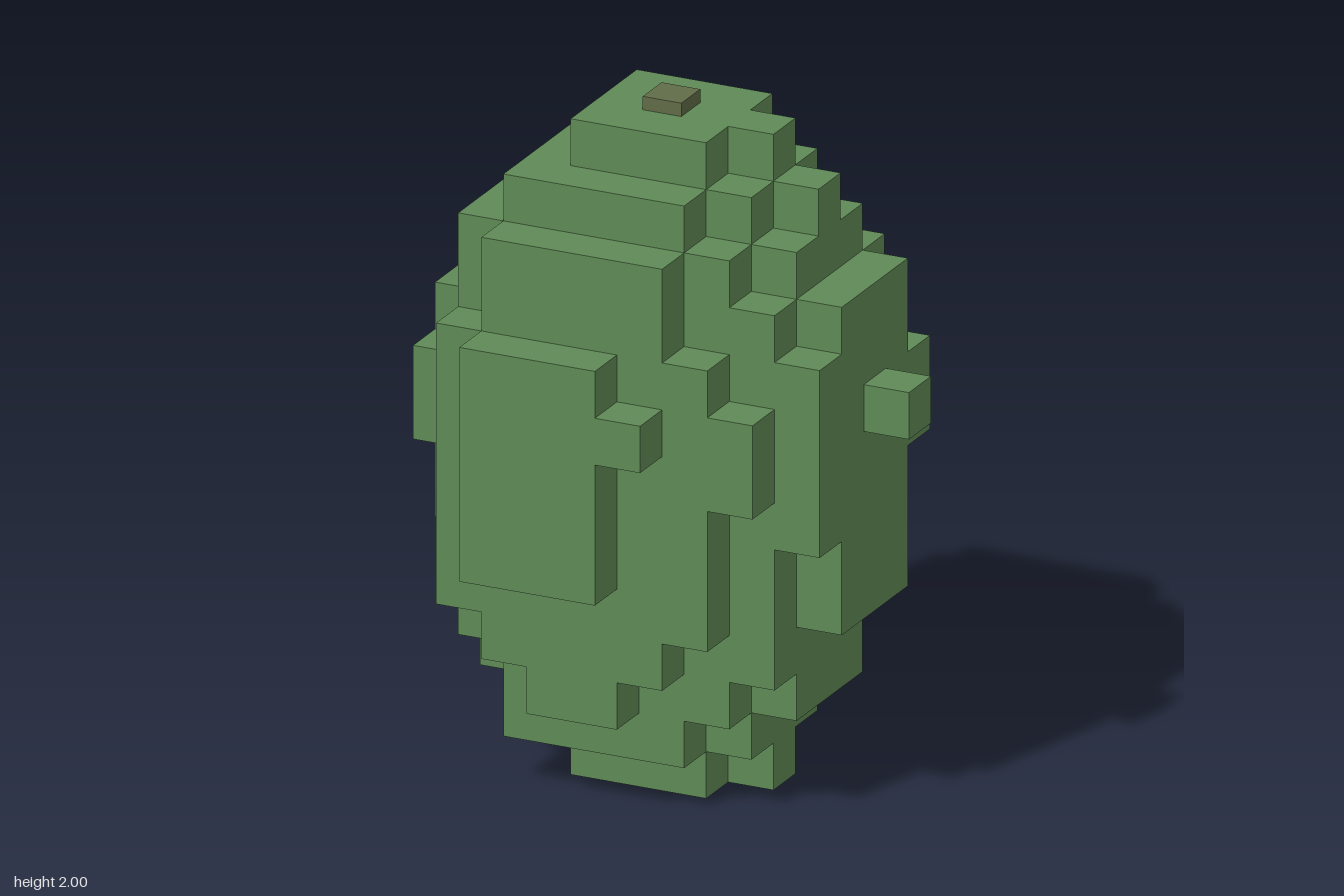
import * as THREE from 'three';
import { mergeGeometries } from 'three/addons/utils/BufferGeometryUtils.js';

const S = 0.14;                  // cube size
const NX = 10, NY = 14, NZ = 9;  // grid of cubes: x, y, z

export function createModel() {
  const green = new THREE.MeshStandardMaterial({ color: 0x5f8a56 });
  green.name = 'leaf green';
  const brown = new THREE.MeshStandardMaterial({ color: 0x616d48 });
  brown.name = 'stem brown';

  // Occupied cubes; each block is [firstX, lastX, firstY, lastY] in one z slice
  const cells = new Set();
  const key = (x, y, z) => x + NX * (y + NY * z);
  const fill = (z, ...blocks) => {
    for (const [x0, x1, y0, y1] of blocks)
      for (let x = x0; x <= x1; x++)
        for (let y = y0; y <= y1; y++) cells.add(key(x, y, z));
  };
  const filled = (x, y, z) =>
    x >= 0 && y >= 0 && z >= 0 && x < NX && y < NY && z < NZ && cells.has(key(x, y, z));

  // Back slices
  fill(0, [2, 4, 5, 9], [3, 3, 4, 4], [5, 5, 7, 8]);
  fill(1, [1, 1, 5, 9], [2, 5, 3, 11], [3, 4, 2, 2], [6, 6, 5, 9]);
  fill(2, [1, 1, 3, 10], [2, 5, 1, 12], [4, 4, 0, 0], [6, 6, 2, 11], [7, 7, 4, 10], [8, 8, 7, 8]);

  // Three core slices share the same stepped oval
  for (const z of [3, 4, 5])
    fill(z, [0, 0, 7, 8], [1, 7, 2, 11], [2, 6, 1, 12], [3, 5, 0, 13], [8, 8, 4, 10]);
  fill(4, [0, 0, 6, 9], [6, 6, 0, 13], [7, 7, 12, 12], [9, 9, 8, 8]);
  fill(5, [0, 0, 5, 9]);

  // Front slices
  fill(6, [0, 0, 7, 8], [1, 1, 3, 11], [2, 5, 1, 12], [6, 6, 2, 11], [7, 7, 3, 10], [8, 8, 6, 9]);
  fill(7, [1, 1, 4, 9], [2, 5, 3, 11], [3, 4, 2, 2], [6, 6, 4, 9], [7, 7, 7, 8]);
  fill(8, [2, 4, 5, 9], [5, 5, 8, 8]);

  // One square for every exposed cube face
  const square = (nx, ny, nz) => {
    const g = new THREE.PlaneGeometry(S, S).translate(0, 0, S / 2);
    if (ny) g.rotateX(-ny * Math.PI / 2);
    else if (nx) g.rotateY(nx * Math.PI / 2);
    else if (nz < 0) g.rotateY(Math.PI);
    return g;
  };
  const sides = [[1, 0, 0], [-1, 0, 0], [0, 1, 0], [0, -1, 0], [0, 0, 1], [0, 0, -1]]
    .map((n) => ({ n, face: square(...n) }));
  const faces = [];
  for (let x = 0; x < NX; x++)
    for (let y = 0; y < NY; y++)
      for (let z = 0; z < NZ; z++) {
        if (!filled(x, y, z)) continue;
        for (const { n, face } of sides)
          if (!filled(x + n[0], y + n[1], z + n[2]))
            faces.push(face.clone().translate(
              (x + 0.5 - NX / 2) * S, (y + 0.5) * S, (z + 0.5 - NZ / 2) * S));
      }

  const model = new THREE.Group();
  model.name = 'blockyFruit';
  const body = new THREE.Mesh(mergeGeometries(faces), green);
  body.name = 'body';

  // Short square stem on top
  const stem = new THREE.Mesh(new THREE.BoxGeometry(0.12, 0.04, 0.12), brown);
  stem.name = 'stem';
  stem.position.set(-0.07, 1.98, 0);

  model.add(body, stem);
  return model;
}
